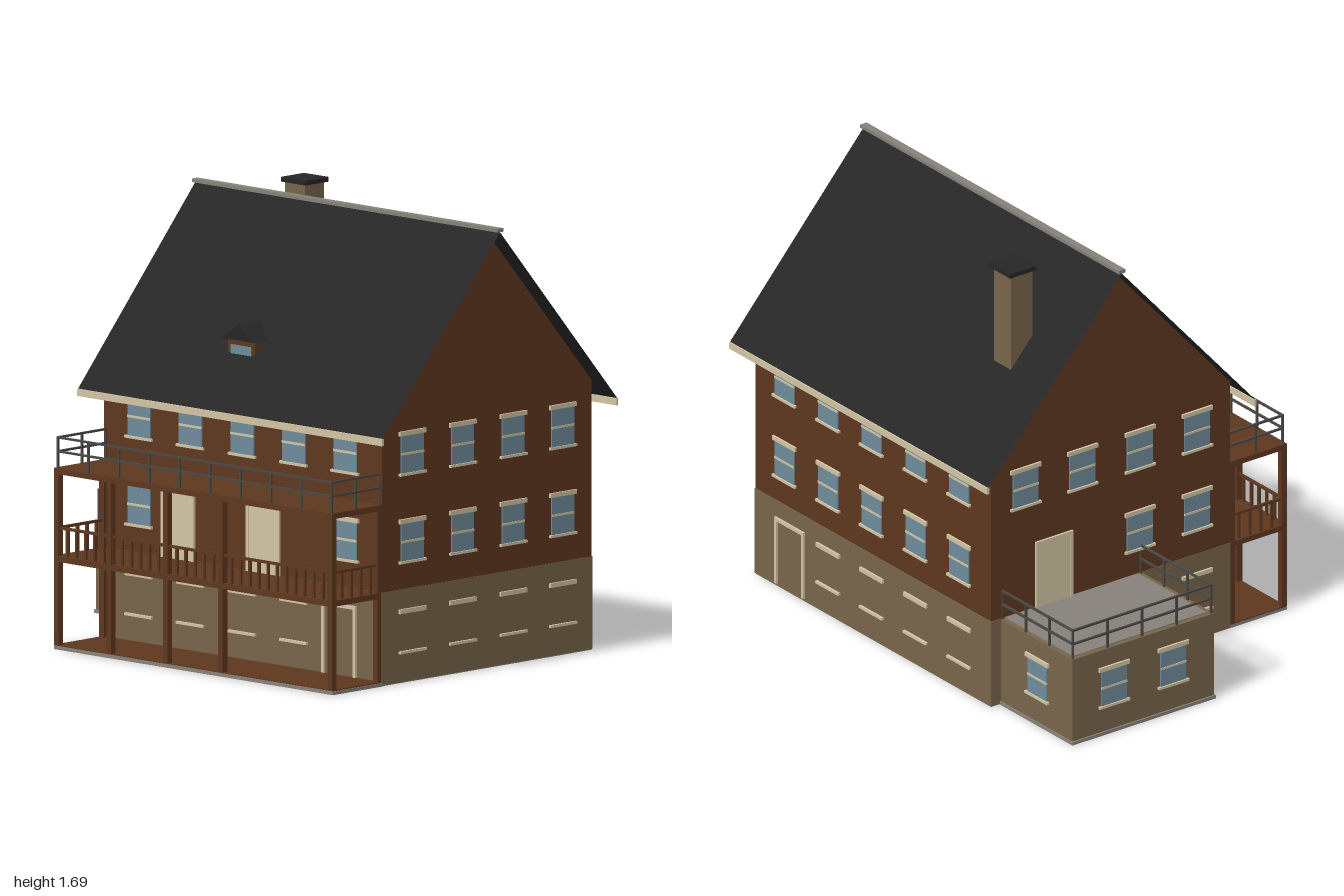
import * as THREE from 'three';

const mat = (name, color, side = THREE.FrontSide) => {
  const m = new THREE.MeshStandardMaterial({ color, side });
  m.name = name;
  return m;
};

export function createModel() {
  const house = new THREE.Group();
  house.name = 'house';
  const timber = mat('brown timber', 0x5e371f);
  const stone = mat('stone', 0x78644a);
  const slate = mat('dark slate', 0x262626, THREE.DoubleSide);
  const cream = mat('cream trim', 0xd2c5a4);
  const glass = mat('window glass', 0x6f8c9b);
  const metal = mat('metal railing', 0x4a4844);
  const grey = mat('grey paving', 0x86817a);

  const group = (name, parent = house) => {
    const g = new THREE.Group();
    g.name = name;
    parent.add(g);
    return g;
  };
  const add = (parent, name, geo, m) => {
    const mesh = new THREE.Mesh(geo, m);
    mesh.name = name;
    parent.add(mesh);
    return mesh;
  };
  // Box given by its extents on each axis
  const box = (parent, name, m, x0, x1, y0, y1, z0, z1) => {
    const mesh = add(parent, name, new THREE.BoxGeometry(x1 - x0, y1 - y0, z1 - z0), m);
    mesh.position.set((x0 + x1) / 2, (y0 + y1) / 2, (z0 + z1) / 2);
    return mesh;
  };

  // Main dimensions
  const L = -0.54, R = 0.92, F = 0.465, B = -0.665;
  const ridgeZ = -0.1, ridgeY = 1.665, slope = 1.124;

  // Stone basement and timber storeys with gable ends
  box(house, 'stoneBasement', stone, L - 0.002, R + 0.002, 0.004, 0.357, B - 0.003, F + 0.002);
  const gable = new THREE.Shape([[-F, 0.35], [-B, 0.35], [-B, 1.03], [-ridgeZ, ridgeY], [-F, 1.03]]
    .map(p => new THREE.Vector2(...p)));
  const walls = add(house, 'timberWalls',
    new THREE.ExtrudeGeometry(gable, { depth: R - L, bevelEnabled: false }), timber);
  walls.rotation.y = Math.PI / 2;
  walls.position.x = L;

  // Paving under house, porch and annex
  box(house, 'houseFooting', grey, L, R, 0, 0.004, B, F);
  box(house, 'porchFooting', grey, L, R + 0.005, 0, 0.013, F, 0.735);
  box(house, 'porchFloor', timber, L, R, 0.013, 0.017, F, 0.73);

  // Roof slopes, fascias and ridge
  for (const s of [1, -1]) {
    const run = 0.632, rise = run * slope;
    const slab = add(house, s > 0 ? 'frontRoof' : 'backRoof',
      new THREE.PlaneGeometry(1.6, Math.hypot(run, rise)), slate);
    slab.rotation.order = 'YXZ';
    slab.rotation.set(-Math.atan2(run, rise), s > 0 ? 0 : Math.PI, 0);
    slab.position.set(0.19, ridgeY + 0.006 - rise / 2, ridgeZ + s * run / 2);
    const z = ridgeZ + s * 0.632;
    box(house, 'fascia', cream, -0.61, 0.99, 0.933, 0.96, z - 0.005, z + 0.005);
  }
  box(house, 'ridgeCap', grey, -0.612, 0.992, 1.672, 1.686, ridgeZ - 0.015, ridgeZ + 0.015);

  // Chimney
  box(house, 'chimney', stone, -0.377, -0.273, 1.2, 1.672, -0.447, -0.345);
  box(house, 'chimneyCap', slate, -0.39, -0.26, 1.67, 1.688, -0.46, -0.335);

  // Dormer
  const dormer = group('dormer');
  box(dormer, 'dormerBody', timber, 0.01, 0.15, 1.145, 1.212, 0.28, 0.36);
  box(dormer, 'dormerWindow', glass, 0.026, 0.134, 1.152, 1.186, 0.358, 0.364);
  const tri = new THREE.Shape([[-0.005, 1.208], [0.165, 1.208], [0.08, 1.27]]
    .map(p => new THREE.Vector2(...p)));
  add(dormer, 'dormerRoof', new THREE.ExtrudeGeometry(tri, { depth: 0.14, bevelEnabled: false }), slate)
    .position.z = 0.24;

  // Annex with roof terrace
  const annex = group('annex');
  box(annex, 'annexFooting', grey, -0.992, L, 0, 0.013, -0.625, 0.055);
  box(annex, 'annexWalls', stone, -0.985, L, 0.013, 0.353, -0.62, 0.05);
  box(annex, 'terraceFloor', grey, -0.965, L, 0.352, 0.357, -0.6, 0.03);

  // Each face is a frame whose local z points out of the wall
  const face = (name, x, z, turn) => {
    const g = group(name);
    g.position.set(x, 0, z);
    g.rotation.y = turn;
    return g;
  };
  const lintels = (f, u, y) => {
    box(f, 'lintel', cream, u - 0.071, u + 0.071, y + 0.153, y + 0.17, 0, 0.009);
    box(f, 'sill', cream, u - 0.071, u + 0.071, y, y + 0.01, 0, 0.011);
  };
  const windowAt = (f, u, y) => {
    lintels(f, u, y);
    box(f, 'windowPane', glass, u - 0.06, u + 0.06, y + 0.01, y + 0.153, 0, 0.005);
    box(f, 'windowBar', cream, u - 0.06, u + 0.06, y + 0.079, y + 0.088, 0, 0.007);
  };
  const doorFrame = (f, u, y0, y1, w) => {
    for (const s of [-1, 1]) {
      const c = u + s * (w / 2 - 0.007);
      box(f, 'doorPost', cream, c - 0.007, c + 0.007, y0, y1, 0, 0.009);
    }
    box(f, 'doorHead', cream, u - w / 2, u + w / 2, y1 - 0.014, y1, 0, 0.009);
  };
  const door = (f, u) => {
    doorFrame(f, u, 0.357, 0.63, 0.175);
    box(f, 'doorLeaf', cream, u - 0.075, u + 0.075, 0.357, 0.62, 0, 0.005);
  };

  const front = face('frontOpenings', 0, F + 0.002, 0);
  const back = face('backOpenings', 0, B - 0.003, Math.PI);
  const right = face('rightHandOpenings', R + 0.002, 0, Math.PI / 2);
  const left = face('leftHandOpenings', L - 0.002, 0, -Math.PI / 2);
  const longXs = [-0.35, -0.08, 0.192, 0.462, 0.732];
  const sideZs = [0.306, 0.035, -0.237, -0.505];

  longXs.forEach((x, i) => {
    windowAt(front, x, 0.79);
    windowAt(back, -x, 0.79);
    windowAt(back, -x, 0.455);
    if (i === 0 || i === 4) windowAt(front, x, 0.455);
    if (i < 4) {
      lintels(front, x, 0.112);
      lintels(back, -x, 0.112);
    }
  });
  door(front, -0.145);
  door(front, 0.303);
  doorFrame(front, 0.7, 0.015, 0.29, 0.18);
  doorFrame(back, -0.7, 0.015, 0.29, 0.18);

  sideZs.forEach((z, i) => {
    windowAt(right, -z, 0.79);
    windowAt(right, -z, 0.455);
    lintels(right, -z, 0.112);
    windowAt(left, z, 0.79);
    if (i < 2) windowAt(left, z, 0.455);
  });
  door(left, -0.37);
  lintels(left, 0.306, 0.112);

  windowAt(face('annexFront', 0, 0.05, 0), -0.772, 0.112);
  windowAt(face('annexBack', 0, -0.62, Math.PI), 0.772, 0.112);
  const annexSide = face('annexSide', -0.985, 0, -Math.PI / 2);
  for (const z of [-0.425, -0.145]) windowAt(annexSide, z, 0.112);

  // Two-storey porch: decks, ceilings and posts
  const porch = group('porch');
  for (const y of [0.335, 0.67]) {
    box(porch, 'deck', timber, L, R, y, y + 0.022, F, 0.735);
    box(porch, 'ceiling', grey, L + 0.03, R - 0.03, y - 0.003, y, F, 0.71);
  }
  for (const x of [-0.528, -0.252, 0.045, 0.335, 0.908])
    box(porch, 'porchPost', timber, x - 0.012, x + 0.012, 0.015, 0.672, 0.71, 0.735);
  for (const x of [-0.528, 0.908])
    box(porch, 'wallPost', timber, x - 0.012, x + 0.012, 0.015, 0.672, F, 0.49);

  // Straight railing between two points, with rails and evenly spaced uprights
  const railing = (name, m, [x0, z0], [x1, z1], y0, rails, count, t) => {
    const g = group(name);
    const len = Math.hypot(x1 - x0, z1 - z0);
    g.position.set(x0, 0, z0);
    g.rotation.y = Math.atan2(-(z1 - z0), x1 - x0);
    for (const y of rails) box(g, 'rail', m, -t, len + t, y - t, y + t, -t, t);
    for (let i = 0; i <= count; i++) {
      const u = len * i / count;
      box(g, 'upright', m, u - t, u + t, y0, rails[0], -t, t);
    }
  };
  const balconyRails = [0.463];
  railing('balconyFrontRail', timber, [L + 0.012, 0.722], [R - 0.012, 0.722], 0.355, balconyRails, 30, 0.005);
  for (const x of [L + 0.012, R - 0.012])
    railing('balconySideRail', timber, [x, F], [x, 0.722], 0.355, balconyRails, 5, 0.005);

  const roofRails = [0.808, 0.755];
  railing('upperFrontRail', metal, [L + 0.012, 0.724], [R - 0.012, 0.724], 0.69, roofRails, 9, 0.004);
  for (const x of [L + 0.012, R - 0.012])
    railing('upperSideRail', metal, [x, F], [x, 0.724], 0.69, roofRails, 2, 0.004);

  const terraceRails = [0.47, 0.414];
  railing('terraceSideRail', metal, [-0.977, -0.612], [-0.977, 0.042], 0.35, terraceRails, 4, 0.004);
  for (const z of [-0.612, 0.042])
    railing('terraceEndRail', metal, [-0.977, z], [L, z], 0.35, terraceRails, 3, 0.004);

  return house;
}
